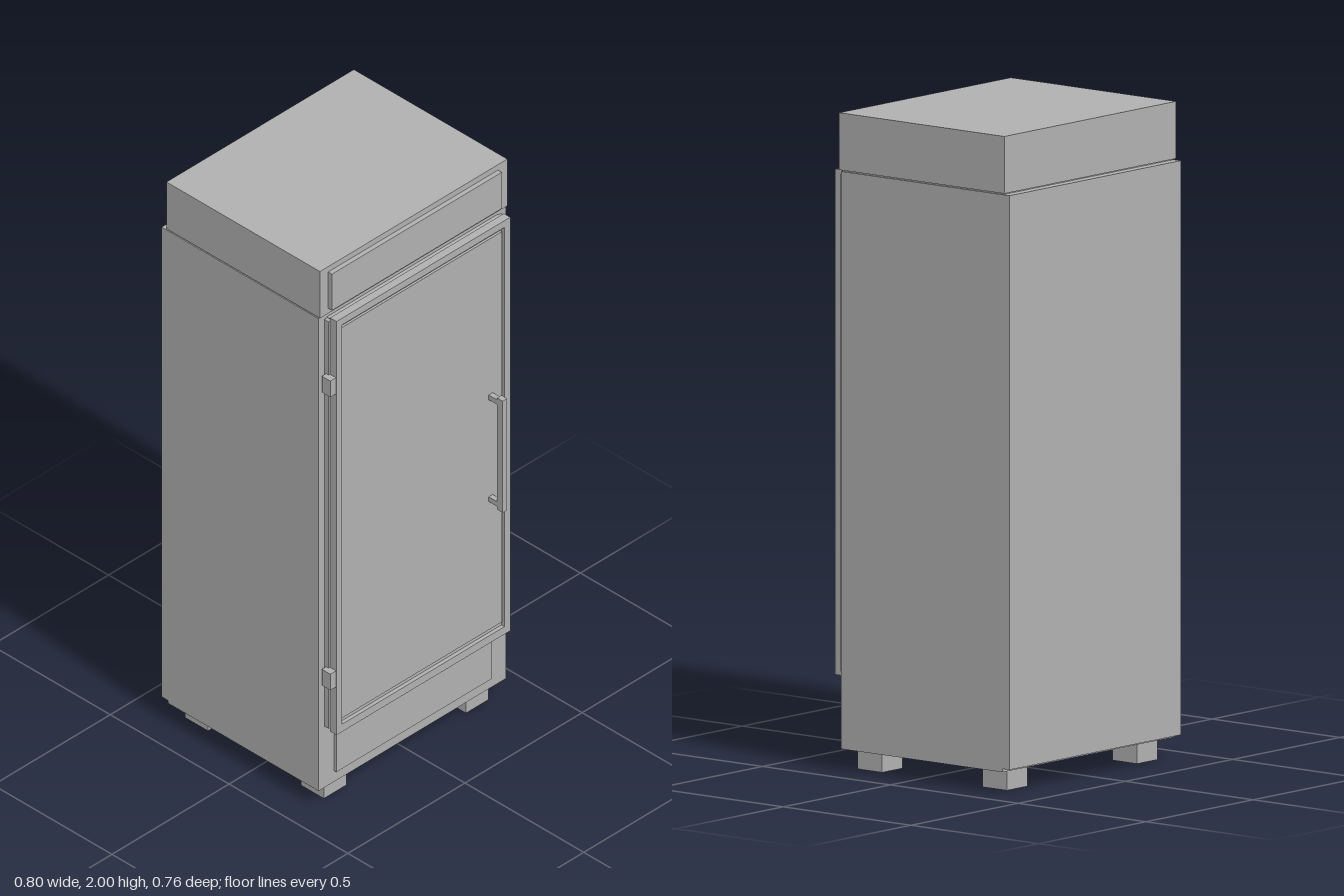
import * as THREE from 'three';

export function createModel() {
  const group = new THREE.Group();
  group.name = 'refrigerator';
  const steel = new THREE.MeshStandardMaterial({ color: 0xb0b0b0 });
  steel.name = 'grey steel';

  const add = (name, geometry) => {
    const mesh = new THREE.Mesh(geometry, steel);
    mesh.name = name;
    group.add(mesh);
    return mesh;
  };
  // Box given by its lower and upper limits on each axis
  const box = (name, x0, x1, y0, y1, z0, z1) => {
    const mesh = add(name, new THREE.BoxGeometry(x1 - x0, y1 - y0, z1 - z0));
    mesh.position.set((x0 + x1) / 2, (y0 + y1) / 2, (z0 + z1) / 2);
    return mesh;
  };

  // Cabinet, back panel and the compressor housing on top
  box('cabinet', -0.4, 0.4, 0.065, 1.822, -0.355, 0.278);
  box('backPanel', -0.4, 0.4, 0.075, 1.822, -0.382, -0.355);
  box('topHousing', -0.4, 0.4, 1.826, 2, -0.362, 0.284);
  box('housingSeam', -0.395, 0.395, 1.82, 1.828, -0.355, 0.275);
  box('topGrille', -0.365, 0.36, 1.845, 1.98, 0.284, 0.3);
  box('kickPlate', -0.333, 0.33, 0.105, 0.25, 0.278, 0.287);

  // Door: gasket, side trims, frame with opening, recessed panel
  box('doorGasket', -0.364, 0.364, 0.29, 1.81, 0.278, 0.298);
  for (const s of [-1, 1]) {
    box('doorSideTrim', s * 0.37 - 0.007, s * 0.37 + 0.007, 0.295, 1.808, 0.28, 0.298);
  }
  const frame = new THREE.Shape([
    [-0.371, 0.282], [0.371, 0.282], [0.371, 1.82], [-0.371, 1.82],
  ].map(([x, y]) => new THREE.Vector2(x, y)));
  frame.holes.push(new THREE.Path([
    [-0.348, 0.31], [-0.348, 1.795], [0.346, 1.795], [0.346, 0.31],
  ].map(([x, y]) => new THREE.Vector2(x, y))));
  const doorFrame = add('doorFrame',
    new THREE.ExtrudeGeometry(frame, { depth: 0.027, bevelEnabled: false }));
  doorFrame.position.z = 0.298;
  box('doorBacking', -0.36, 0.36, 0.3, 1.805, 0.298, 0.312);
  box('doorPanel', -0.342, 0.34, 0.328, 1.78, 0.312, 0.32);

  // Hinges on the right side of the door
  for (const y of [0.49, 1.58]) {
    box('hinge', -0.395, -0.371, y - 0.03, y + 0.03, 0.287, 0.323);
  }

  // Handle bar on two posts
  box('handleBar', 0.283, 0.302, 0.795, 1.21, 0.356, 0.38);
  for (const y of [0.814, 1.193]) {
    box('handlePost', 0.284, 0.301, y - 0.009, y + 0.009, 0.32, 0.356);
  }

  // Feet
  for (const x of [-0.305, 0.302]) {
    for (const z of [-0.282, 0.206]) {
      box('foot', x - 0.048, x + 0.048, 0, 0.065, z - 0.048, z + 0.048);
    }
  }
  return group;
}
